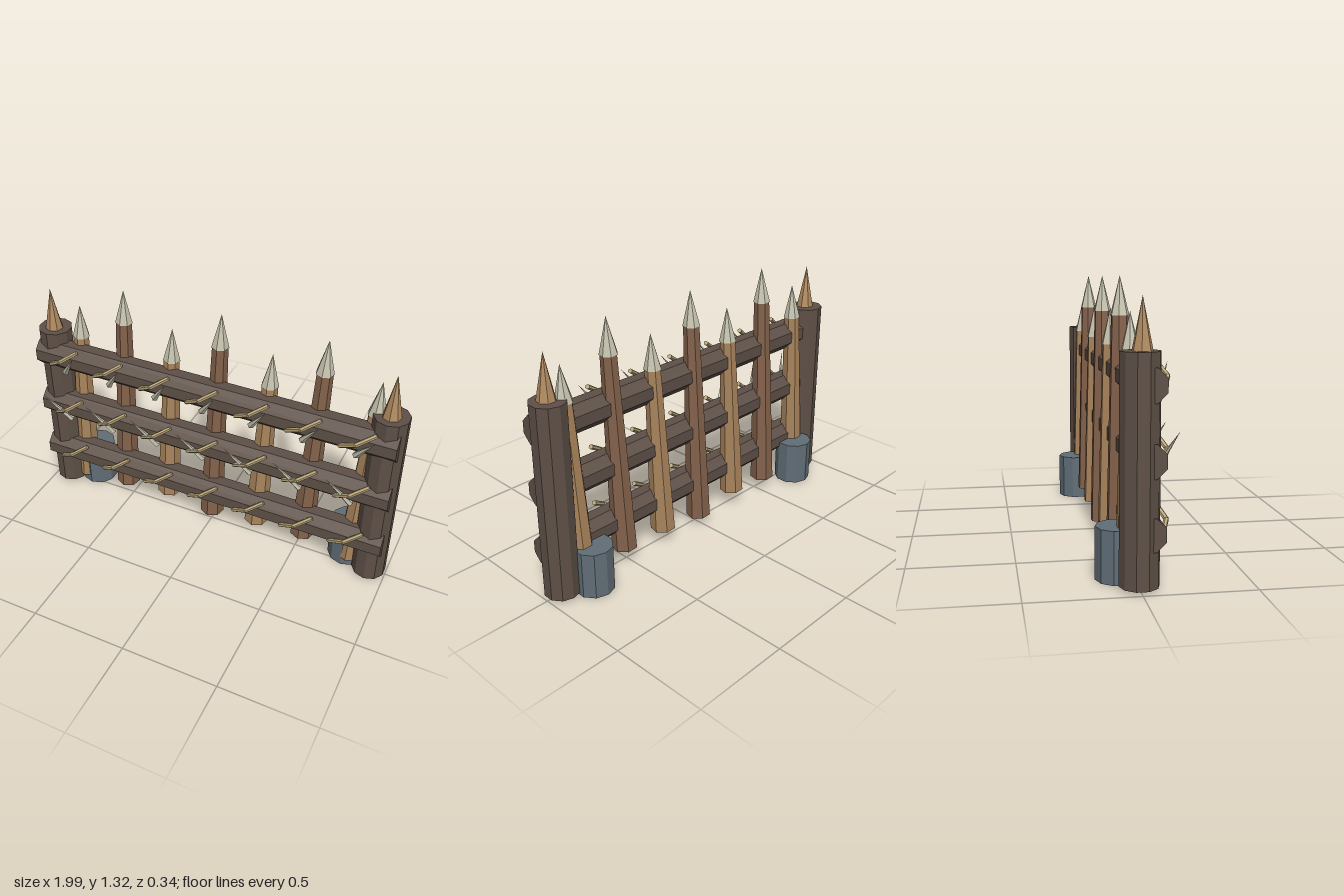
import * as THREE from 'three';

const mat = (name, color) => {
  const m = new THREE.MeshStandardMaterial({ color, flatShading: true });
  m.name = name;
  return m;
};

export function createModel() {
  const model = new THREE.Group();
  model.name = 'palisade';
  const darkWood = mat('dark wood', 0x5e5047);
  const tanWood = mat('tan wood', 0xab865d);
  const brownWood = mat('brown wood', 0x85634c);
  const pointWood = mat('sharpened wood', 0xb08a60);
  const bone = mat('bone', 0xc6c3ae);
  const rope = mat('rope', 0xbba779);
  const stone = mat('stone', 0x616e77);

  const add = (parent, name, geo, material, x = 0, y = 0, z = 0) => {
    const mesh = new THREE.Mesh(geo, material);
    mesh.name = name;
    mesh.position.set(x, y, z);
    parent.add(mesh);
    return mesh;
  };

  // Tapered rod from point a (radius ra) to point b (radius rb)
  const rod = (parent, name, a, b, ra, rb, sides, material) => {
    const dir = b.clone().sub(a);
    const geo = rb === 0
      ? new THREE.ConeGeometry(ra, dir.length(), sides)
      : new THREE.CylinderGeometry(rb, ra, dir.length(), sides);
    const mesh = add(parent, name, geo, material);
    mesh.position.copy(a).add(b).multiplyScalar(0.5);
    mesh.quaternion.setFromUnitVectors(new THREE.Vector3(0, 1, 0), dir.normalize());
    return mesh;
  };
  const v = (x, y, z) => new THREE.Vector3(x, y, z);

  // End posts with sharpened points, and footing stones behind them
  for (const s of [-1, 1]) {
    const side = s > 0 ? 'left' : 'right';
    add(model, side + 'Post', new THREE.CylinderGeometry(0.088, 0.088, 0.995, 10), darkWood, s * 0.91, 0.5125, 0);
    add(model, side + 'PostPoint', new THREE.ConeGeometry(0.046, 0.225, 7), pointWood, s * 0.91, 1.1225, 0.008);
    add(model, side + 'Footing', new THREE.CylinderGeometry(0.1, 0.1, 0.24, 10), stone, s * 0.767, 0.12, -0.07);
  }

  // Horizontal octagonal rails
  const railY = [0.873, 0.56, 0.249];
  railY.forEach((y, i) => {
    const geo = new THREE.CylinderGeometry(0.079, 0.079, 1.955, 8);
    geo.rotateY(Math.PI / 8);
    geo.rotateZ(Math.PI / 2);
    add(model, 'rail' + (i + 1), geo, darkWood, -0.002, y, 0.03);
  });

  // Leaning stakes, alternately short and tall
  const baseY = [0.05, 0.07, 0.095, 0.05, 0.085, 0.095, 0.05];
  for (let i = 0; i < 7; i++) {
    const x = -0.808 + i * 0.2665;
    const tall = i % 2 === 1;
    const tipY = tall ? 1.315 : 1.165;
    const stake = new THREE.Group();
    stake.name = 'stake' + (i + 1);
    model.add(stake);
    const base = v(x, baseY[i], -0.022), tip = v(x + 0.054, tipY, -0.015);
    const neck = base.clone().lerp(tip, 1 - 0.18 / (tipY - baseY[i]));
    rod(stake, 'shaft', base, neck, 0.065, 0.041, 7, tall ? brownWood : tanWood);
    rod(stake, 'boneTip', neck, tip, 0.045, 0, 7, bone);

    // Bent lashing on each rail in front of the stake
    railY.forEach((y, r) => {
      const cy = y + 0.022;
      const a = v(x - 0.085, cy - 0.057, 0.1);
      const mid = v(x, cy, 0.137);
      const b = v(x + 0.085, cy + 0.057, 0.1);
      rod(model, 'lashing', a, mid, 0.012, 0.012, 6, rope);
      rod(model, 'lashing', mid, b, 0.012, 0.012, 6, rope);
      // Bone thorns on the upper two rails
      if (r === 0) rod(model, 'thorn', v(x - 0.005, 0.8, 0.09), v(x + 0.095, 0.947, 0.157), 0.018, 0, 5, bone);
      if (r === 1) rod(model, 'thorn', v(x, 0.497, 0.09), v(x - 0.117, 0.674, 0.167), 0.018, 0, 5, bone);
    });
  }
  return model;
}
